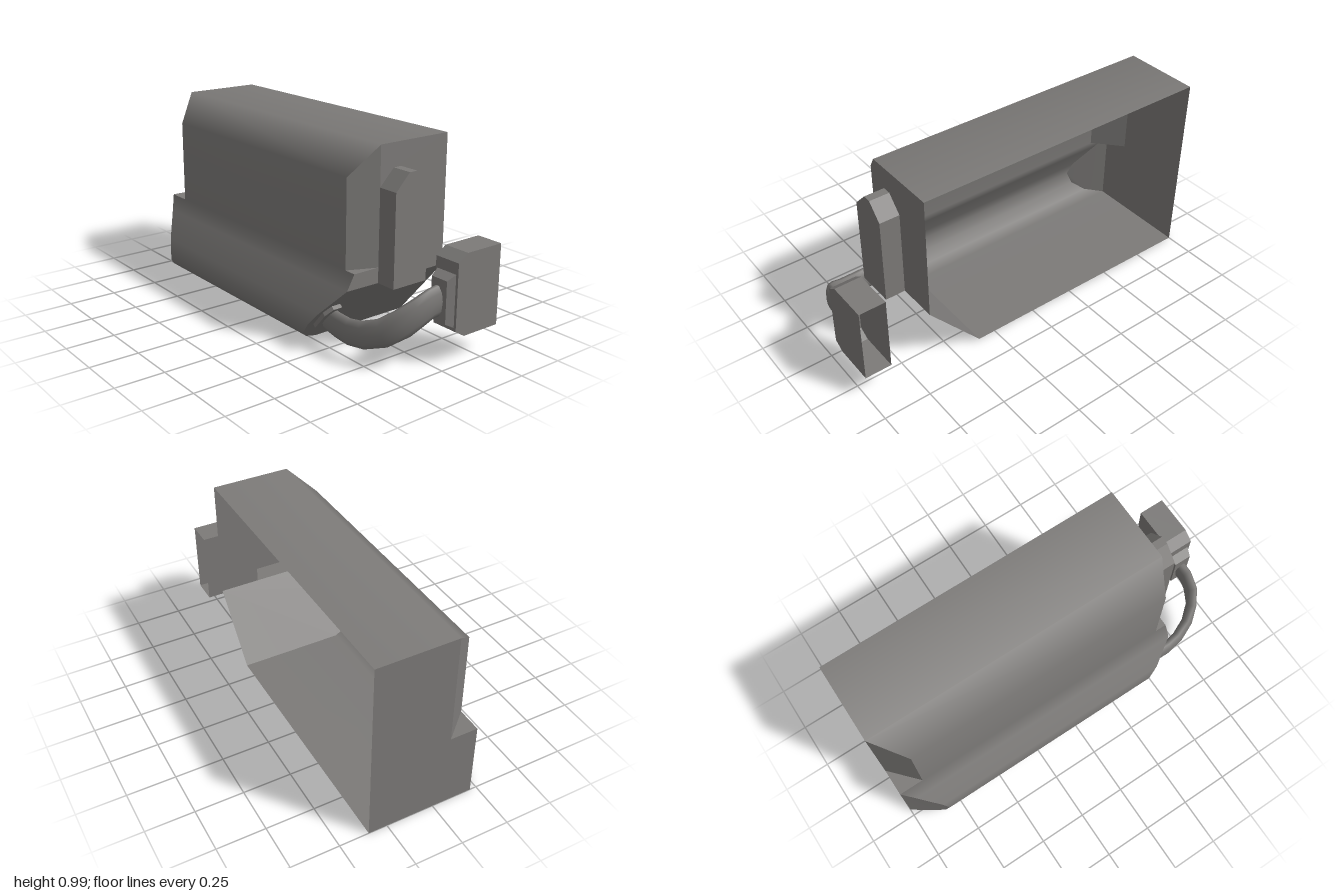
import * as THREE from 'three';

const grey = new THREE.MeshStandardMaterial({ color: 0x7c7a78, side: THREE.DoubleSide });
grey.name = 'warm grey';

function build(name, positions, index) {
  let g = new THREE.BufferGeometry();
  g.setAttribute('position', new THREE.Float32BufferAttribute(positions.flat(), 3));
  g.setIndex(index);
  g.computeVertexNormals();
  const m = new THREE.Mesh(g, grey);
  m.name = name;
  return m;
}

// Flat polygon in space; u and v pick the axes used for triangulation
function panel(name, pts, u = 0, v = 1) {
  const flat = pts.map(p => new THREE.Vector2(p[u], p[v]));
  return build(name, pts, THREE.ShapeUtils.triangulateShape(flat, []).flat());
}

// Closed rings joined into a tube; faceted gives hard edges
function loft(name, rings, faceted, capEnd) {
  const n = rings[0].length, index = [];
  for (let r = 0; r < rings.length - 1; r++) {
    for (let i = 0; i < n; i++) {
      const a = r * n + i, b = r * n + (i + 1) % n;
      index.push(a, a + n, b, b, a + n, b + n);
    }
  }
  if (capEnd) {
    const s = (rings.length - 1) * n;
    for (let i = 1; i < n - 1; i++) index.push(s, s + i + 1, s + i);
  }
  const m = build(name, rings.flat(), index);
  if (faceted) {
    m.geometry = m.geometry.toNonIndexed();
    m.geometry.computeVertexNormals();
  }
  return m;
}

// Shell profile: x, y, front z, back z
const P = [
  [0.347, 0.99, 0.633, -1], [-0.07, 0.99, 0.633, -1],
  [-0.215, 0.848, 0.57, -0.87], [-0.215, 0.405, 0.57, -0.87],
  [-0.215, 0.405, 0.633, -1], [-0.257, 0.33, 0.633, -0.944],
  [-0.333, 0.2, 0.518, -0.846], [-0.35, 0.135, 0.462, -0.82],
  [-0.333, 0.068, 0.404, -0.846], [-0.283, 0.02, 0.362, -0.907],
  [-0.215, 0, 0.347, -1], [0.347, 0, 0.347, -1],
];

// Smooth outer skin running front to back
function shellSkin() {
  const pos = [], normals = [], index = [];
  P.forEach(([x, y, f, b], i) => {
    const prev = P[Math.max(0, i === 4 ? 2 : i - 1)];
    const next = P[Math.min(P.length - 1, i === 3 ? 5 : i + 1)];
    const n = new THREE.Vector2(next[1] - prev[1], prev[0] - next[0]).normalize();
    pos.push([x, y, f], [x, y, b]);
    normals.push(n.x, n.y, 0, n.x, n.y, 0);
    const a = i * 2;
    if (i < P.length - 1 && i !== 3) index.push(a, a + 1, a + 2, a + 2, a + 1, a + 3);
  });
  const m = build('shellSkin', pos, index);
  m.geometry.setAttribute('normal', new THREE.Float32BufferAttribute(normals, 3));
  return m;
}

// Pocket outline, left foot over the top to right foot
const pocket = [[-0.07, 0.328], [-0.07, 0.79], [0.01, 0.872], [0.055, 0.872], [0.132, 0.79], [0.132, 0.328]];

function createShell() {
  const shell = new THREE.Group();
  shell.name = 'shell';
  const front = i => [P[i][0], P[i][1], P[i][2]];
  const back = i => [P[i][0], P[i][1], P[i][3]];
  const zf = 0.633;
  shell.add(
    shellSkin(),
    // front wall, cut out around the pocket
    panel('frontWall', [front(0), front(1), [-0.07, 0.405, zf], front(4), front(5),
      ...pocket.map(([x, y]) => [x, y, zf]), [0.347, 0.33, zf]]),
    panel('frontSlope', [[0.347, 0.33, zf], ...[5, 6, 7, 8, 9, 10, 11].map(front)]),
    panel('backWall', [back(0), [0.347, 0, -1], back(10), back(4), [-0.07, 0.405, -1], back(1)]),
    panel('backCornerCut', [10, 9, 8, 7, 6, 5, 4].map(back)),
  );
  // upper corner chamfers with their small ledges
  for (const [end, z, label] of [[front, zf, 'front'], [back, -1, 'back']]) {
    const chamfer = [end(1), end(2), end(3), [-0.07, 0.405, z]];
    const ledge = [[-0.07, 0.405, z], end(3), end(4)];
    if (label === 'back') chamfer.reverse();
    else ledge.reverse();
    shell.add(panel(label + 'Chamfer', chamfer), panel(label + 'Ledge', ledge, 0, 2));
  }
  return shell;
}

// Pocket raised from the front wall, open to the inside
function createPocket() {
  const g = new THREE.Group();
  g.name = 'frontPocket';
  const ring = z => pocket.map(([x, y]) => [x, y, z]);
  g.add(loft('pocketSides', [ring(0.633), ring(0.74)], true, false),
    panel('pocketFace', ring(0.74).reverse()));
  return g;
}

// Flattened hose swept along a curve
function createHose() {
  const curve = new THREE.CatmullRomCurve3([
    [-0.255, 0.155, 0.49], [-0.258, 0.142, 0.6], [-0.252, 0.142, 0.7], [-0.205, 0.178, 0.82],
    [-0.125, 0.248, 0.9], [-0.035, 0.303, 0.925], [0.035, 0.313, 0.925],
  ].map(p => new THREE.Vector3(...p)));
  const rings = [], steps = 8, sides = 10;
  for (let s = 0; s <= steps; s++) {
    const t = s / steps, c = curve.getPoint(t), d = curve.getTangent(t);
    const side = new THREE.Vector3(d.z, 0, -d.x).normalize();
    const up = d.clone().cross(side);
    const ring = [];
    for (let i = 0; i < sides; i++) {
      const a = i / sides * Math.PI * 2;
      ring.push(c.clone().addScaledVector(side, 0.03 * Math.cos(a))
        .addScaledVector(up, (0.064 + 0.014 * t) * Math.sin(a)).toArray());
    }
    rings.push(ring);
  }
  return loft('hose', rings, false, false);
}

// Thin plate where the hose meets the slope
function createFlange() {
  const shape = new THREE.Shape([
    [-0.055, -0.055], [-0.025, -0.1], [0.025, -0.1], [0.055, -0.055],
    [0.055, 0.055], [0.025, 0.1], [-0.025, 0.1], [-0.055, 0.055],
  ].map(p => new THREE.Vector2(...p)));
  const m = new THREE.Mesh(new THREE.ExtrudeGeometry(shape, { depth: 0.02, bevelEnabled: false }), grey);
  m.name = 'hoseFlange';
  m.position.set(-0.255, 0.162, 0.487);
  m.rotation.x = 0.712;
  return m;
}

// Connector box, open on its outer end, narrowing to a neck
function createConnector() {
  const ring = ([x, y0, y1, z0, z1]) => [[x, y0, z0], [x, y0, z1], [x, y1, z1], [x, y1, z0]];
  return loft('connector', [
    [0.347, 0.137, 0.538, 0.86, 1], [0.132, 0.137, 0.538, 0.86, 1],
    [0.076, 0.17, 0.5, 0.86, 1], [0.076, 0.187, 0.443, 0.87, 0.987],
    [0.032, 0.21, 0.418, 0.88, 0.975],
  ].map(ring), true, true);
}

export function createModel() {
  const model = new THREE.Group();
  model.name = 'openHousing';
  model.add(createShell(), createPocket(), createHose(), createFlange(), createConnector());
  return model;
}
